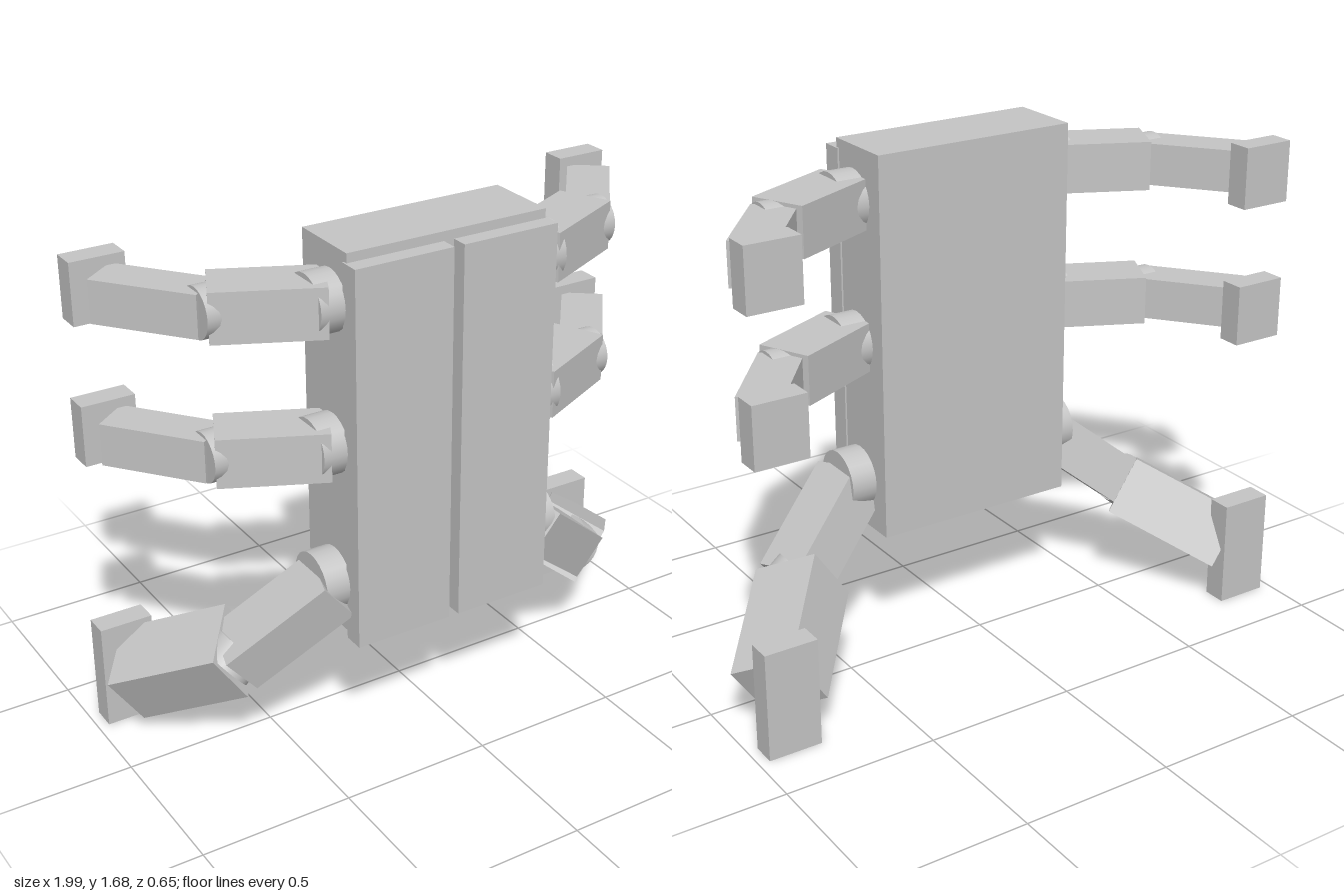
import * as THREE from 'three';

const rad = THREE.MathUtils.degToRad;

export function createModel() {
  const model = new THREE.Group();
  const grey = new THREE.MeshStandardMaterial({ color: 0xc4c4c4 });
  grey.name = 'light grey';

  const add = (name, geometry, x, y, z) => {
    const mesh = new THREE.Mesh(geometry, grey);
    mesh.name = name;
    mesh.position.set(x, y, z);
    model.add(mesh);
    return mesh;
  };
  const box = (name, size, pos) => add(name, new THREE.BoxGeometry(...size), ...pos);
  const disc = (name, r, h, pos, r2 = r) => add(name, new THREE.CylinderGeometry(r, r2, h, 24), ...pos);

  // Limb box: swept back by yaw, then dropped by roll, mirrored by side
  const limb = (name, side, size, [x, y, z], roll, yaw) => {
    const mesh = box(name, size, [side * x, y, z]);
    mesh.rotation.set(0, side * rad(yaw), side * rad(roll), 'ZYX');
  };
  // Joint: cylinder lying along x
  const joint = (name, side, r, length, [x, y, z], roll = 0) => {
    const geometry = new THREE.CylinderGeometry(r, r, length, 24).rotateZ(Math.PI / 2);
    add(name, geometry, side * x, y, z).rotation.z = side * rad(roll);
  };

  // Main body
  box('body', [0.69, 1.26, 0.25], [0, 1.05, 0.145]);

  for (const side of [1, -1]) {
    const s = side > 0 ? 'left' : 'right';

    // Front door panel
    box(s + 'FrontPanel', [0.333, 1.25, 0.07], [side * 0.184, 1.025, 0.29]);

    // Two pairs of arms
    [['Upper', 1.51], ['Lower', 1.05]].forEach(([level, y]) => {
      const n = s + level;
      joint(n + 'Shoulder', side, 0.097, 0.09, [0.385, y, 0.175]);
      limb(n + 'Arm', side, [0.34, 0.16, 0.18], [0.518, y, 0.115], 0, 25.5);
      joint(n + 'Elbow', side, 0.08, 0.08, [0.68, y, 0.06]);
      limb(n + 'Forearm', side, [0.342, 0.137, 0.14], [0.78, y, -0.083], 0, 52);
      box(n + 'Hand', [0.176, 0.2, 0.08], [side * 0.876, y, -0.286]);
    });

    // Leg
    joint(s + 'Hip', side, 0.1, 0.09, [0.385, 0.585, 0.175]);
    limb(s + 'Thigh', side, [0.39, 0.16, 0.18], [0.513, 0.453, 0.135], -40, 18);
    joint(s + 'Knee', side, 0.09, 0.08, [0.66, 0.335, 0.07], -40);
    limb(s + 'Shin', side, [0.4, 0.205, 0.22], [0.755, 0.259, -0.089], -34, 44.5);
    box(s + 'Foot', [0.176, 0.36, 0.08], [side * 0.876, 0.18, -0.286]);

    // Small nozzle under the front
    disc(s + 'SmallNozzle', 0.03, 0.04, [side * 0.07, 0.405, 0.262], 0.026);
  }

  // Large nozzles under the body, each with a stepped rim
  [[-0.135, 0.048], [0, 0.06], [0.135, 0.048]].forEach(([x, r]) => {
    disc('nozzle', r, 0.03, [x, 0.408, 0.16]);
    disc('nozzleTip', r * 0.8, 0.012, [x, 0.388, 0.16]);
  });

  return model;
}
